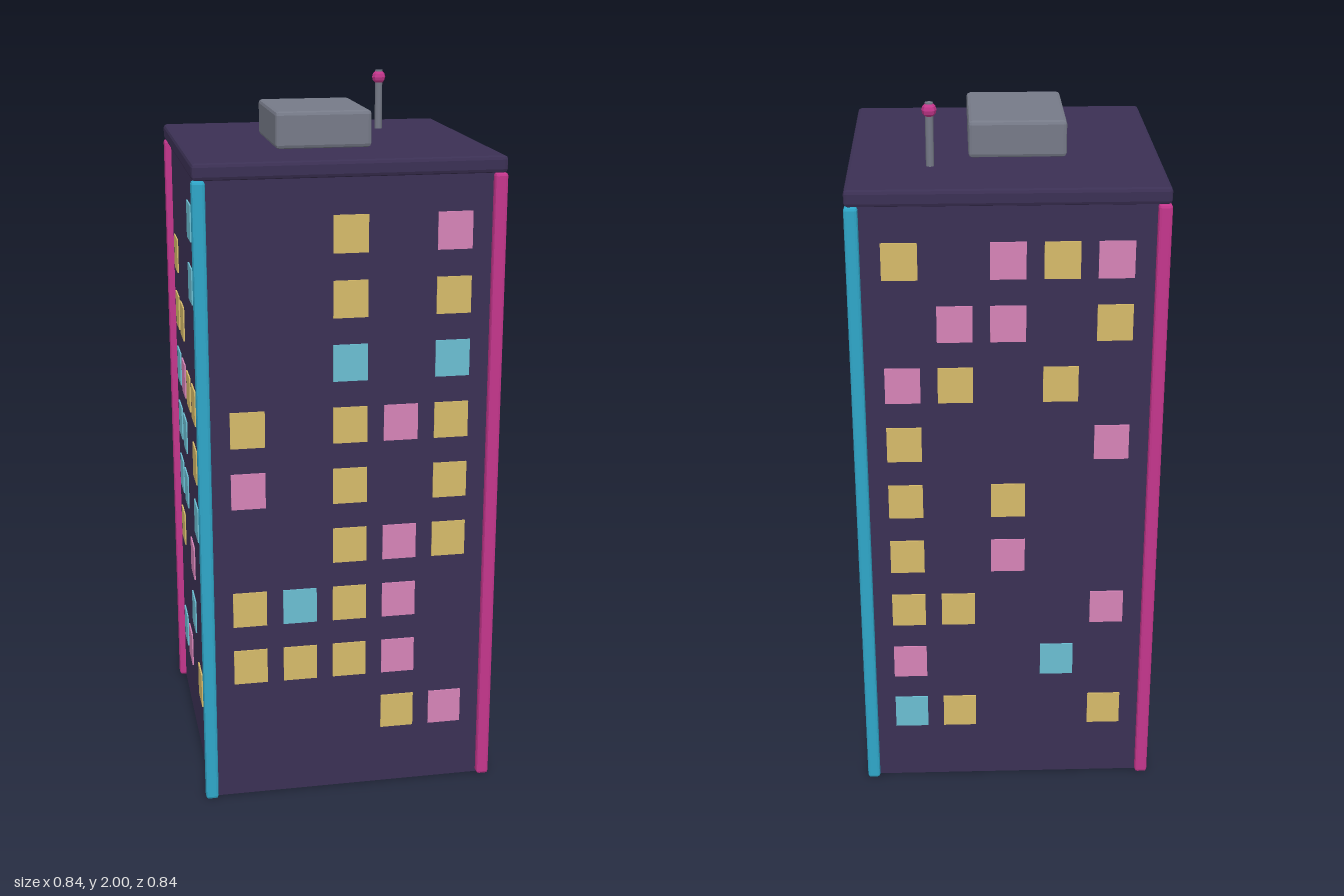
import * as THREE from 'three';
import { RoundedBoxGeometry } from 'three/addons/geometries/RoundedBoxGeometry.js';

const material = (name, color) => {
  const m = new THREE.MeshStandardMaterial({ color });
  m.name = name;
  return m;
};

// Window rows from top to bottom, each read left to right as seen from outside.
// Y = yellow, P = pink, C = cyan, . = dark
const FACADES = [
  { name: 'frontWindows', turn: 0, rows: ['..Y.P', '..Y.Y', '..C.C', 'Y.YPY', 'P.Y.Y', '..YPY', 'YCYP.', 'YYYP.', '...YP'] },
  { name: 'rightWindows', turn: 1, rows: ['.PYYY', '.P...', '.....', 'PY.Y.', '.PCP.', '.Y..Y', '.Y.YY', 'CYYCC', 'CY.Y.'] },
  { name: 'backWindows', turn: 2, rows: ['Y.PYP', '.PP.Y', 'PY.Y.', 'Y...P', 'Y.Y..', 'Y.P..', 'YY..P', 'P..C.', 'CY..Y'] },
  { name: 'leftWindows', turn: 3, rows: ['...CC', 'Y..CC', 'YY...', 'CPYYY', 'CC.Y.', 'CC.C.', 'Y.P..', '..C.P', 'CP.YY'] },
];

export function createModel() {
  const model = new THREE.Group();
  model.name = 'tower';

  const wall = material('dark purple wall', 0x3b3054);
  const grey = material('grey metal', 0x767a88);
  const neonPink = material('neon pink', 0xc4368c);
  const neonCyan = material('neon cyan', 0x2fa6c8);
  const lit = {
    Y: material('yellow window', 0xd6ba69),
    P: material('pink window', 0xd683b7),
    C: material('cyan window', 0x6bbed2),
  };

  const add = (parent, name, geometry, mat, x, y, z) => {
    const mesh = new THREE.Mesh(geometry, mat);
    mesh.name = name;
    mesh.position.set(x, y, z);
    parent.add(mesh);
    return mesh;
  };

  // Box with a single flat chamfer on every edge
  const chamferBox = (w, h, d, r) => {
    const g = new RoundedBoxGeometry(w, h, d, 1, r);
    g.computeVertexNormals();
    return g;
  };

  // Main block and roof slab
  add(model, 'body', new THREE.BoxGeometry(0.8, 1.79, 0.8), wall, 0, 0.895, 0);
  add(model, 'roofSlab', chamferBox(0.838, 0.045, 0.838, 0.01), wall, 0, 1.8075, 0);

  // Neon strips on the four corners, alternating in colour
  const strip = chamferBox(0.036, 1.785, 0.036, 0.008);
  for (const sx of [-1, 1]) {
    for (const sz of [-1, 1]) {
      add(model, 'cornerStrip', strip, sx === sz ? neonPink : neonCyan, sx * 0.402, 0.8925, sz * 0.402);
    }
  }

  // Lit windows on every side, as thin plates
  const pane = new THREE.BoxGeometry(0.095, 0.102, 0.008);
  for (const { name, turn, rows } of FACADES) {
    const side = new THREE.Group();
    side.name = name;
    side.rotation.y = turn * Math.PI / 2;
    rows.forEach((row, r) => [...row].forEach((key, c) => {
      if (lit[key]) add(side, 'window', pane, lit[key], (c - 2) * 0.1415, 1.634 - r * 0.1758, 0.4);
    }));
    model.add(side);
  }

  // Rooftop unit
  add(model, 'rooftopUnit', chamferBox(0.265, 0.1, 0.332, 0.01), grey, -0.035, 1.88, 0.031);

  // Antenna with a beacon near its tip
  add(model, 'antenna', new THREE.CylinderGeometry(0.011, 0.011, 0.18, 8), grey, 0.2, 1.91, -0.2);
  const beacon = new THREE.SphereGeometry(0.02, 8, 6).toNonIndexed();
  beacon.computeVertexNormals();
  add(model, 'beacon', beacon, neonPink, 0.2, 1.98, -0.2);

  return model;
}
